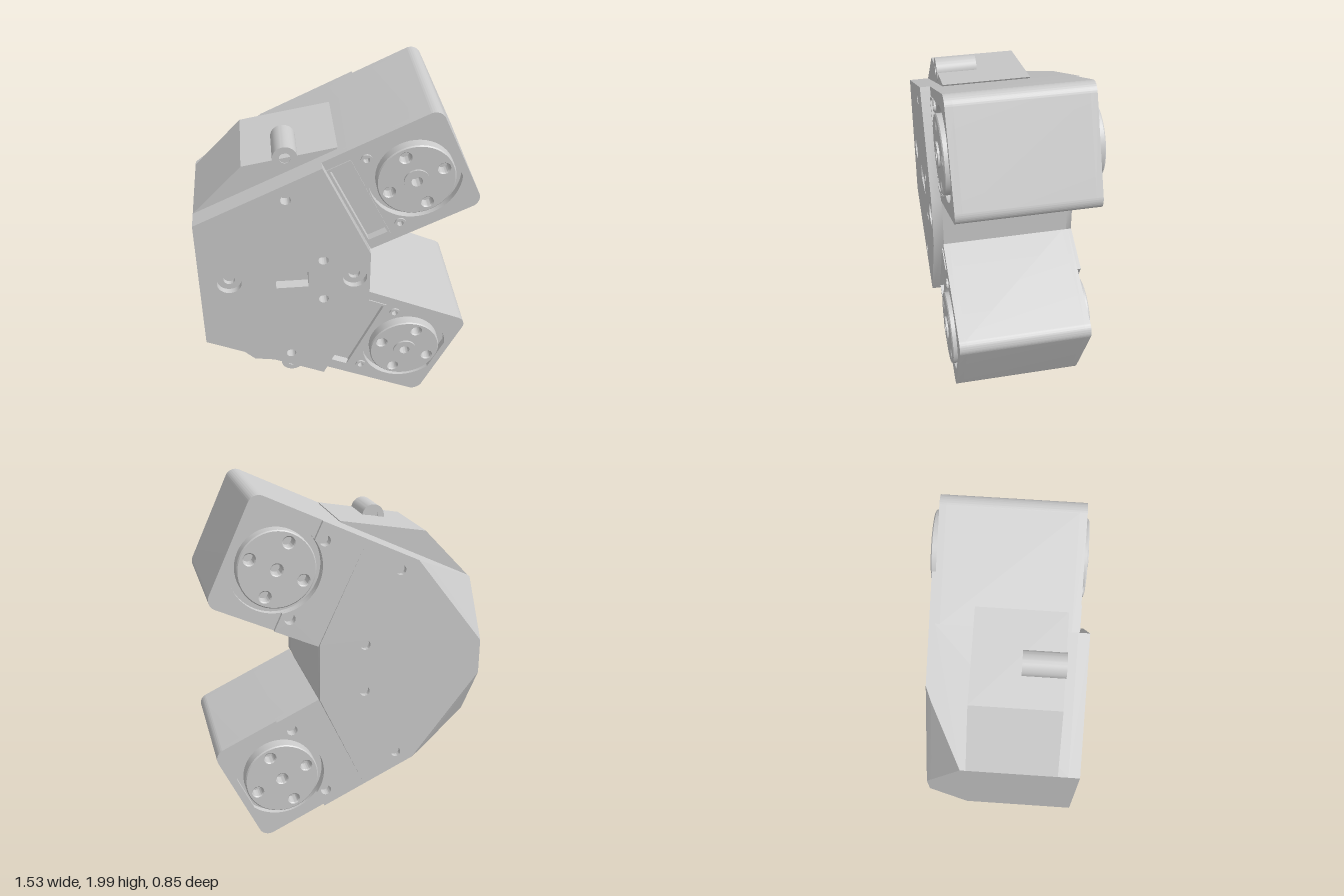
import * as THREE from 'three';
import { toCreasedNormals } from 'three/addons/utils/BufferGeometryUtils.js';
import { ConvexGeometry } from 'three/addons/geometries/ConvexGeometry.js';

const MID = 1; // height of the symmetry plane
const MOTOR = { x: 0.405, y: 0.615, tilt: THREE.MathUtils.degToRad(25) };
const material = new THREE.MeshStandardMaterial({ color: 0xcccccc });

const mirrorY = ([x, y]) => [x, 2 * MID - y];
const outline = (pts) => new THREE.Shape(pts.map(([x, y]) => new THREE.Vector2(x, y)));
// Outline symmetric about the middle plane, given its upper half
const symmetric = (upper) => [...upper, ...upper.map(mirrorY).reverse()];

function circle(x, y, r) {
  const s = new THREE.Shape();
  s.absarc(x, y, r, 0, Math.PI * 2);
  return s;
}

function rect(x0, y0, x1, y1) {
  return outline([[x0, y0], [x1, y0], [x1, y1], [x0, y1]]);
}

// Extrusion between two z levels, with holes
function slab(name, shape, z0, z1, holes = [], bevel = 0) {
  shape.holes.push(...holes);
  const geo = new THREE.ExtrudeGeometry(shape, {
    depth: z1 - z0 - 2 * bevel, curveSegments: 24, bevelEnabled: bevel > 0,
    bevelSize: bevel, bevelThickness: bevel, bevelOffset: -bevel, bevelSegments: 1,
  });
  geo.translate(0, 0, z0 + bevel);
  const mesh = new THREE.Mesh(toCreasedNormals(geo, 0.5), material);
  mesh.name = name;
  return mesh;
}

// Motor case outline: square at the body, rounded at the outer end
function caseShape() {
  const s = new THREE.Shape();
  const u = 0.265, v = 0.32, r = 0.06;
  s.moveTo(-0.395, -v);
  s.lineTo(u - r, -v);
  s.absarc(u - r, -v + r, r, -Math.PI / 2, 0);
  s.lineTo(u, v - r);
  s.absarc(u - r, v - r, r, 0, Math.PI / 2);
  s.lineTo(-0.395, v);
  s.closePath();
  return s;
}

// Round pocket for the drive disc, flattened at the outer end
function pocket() {
  const s = new THREE.Shape();
  const a = Math.acos(0.225 / 0.25);
  s.absarc(0, 0, 0.25, a, Math.PI * 2 - a);
  s.closePath();
  return s;
}

const screwHoles = () => [-1, 1].map((k) => circle(-0.183, k * 0.229, 0.03));

function discHoles() {
  const holes = [circle(0, 0, 0.03)];
  for (let i = 0; i < 4; i++) {
    const a = (i * Math.PI) / 2;
    holes.push(circle(0.155 * Math.cos(a), 0.155 * Math.sin(a), 0.029));
  }
  return holes;
}

function createMotor() {
  const g = new THREE.Group();
  g.name = 'motor';
  g.add(slab('motorCase', caseShape(), -0.345, 0.33));
  g.add(slab('motorFrontCover', caseShape(), 0.33, 0.37,
    [pocket(), rect(-0.38, -0.25, -0.256, 0.25), ...screwHoles()]));
  g.add(slab('motorBackCover', caseShape(), -0.38, -0.345, [pocket(), ...screwHoles()]));

  // Raised frame around the cable slot
  g.add(slab('slotFrame', rect(-0.394, -0.265, -0.256, 0.265), 0.365, 0.376,
    [rect(-0.38, -0.25, -0.268, 0.25)]));

  // Rings around the front screws
  for (const k of [-1, 1]) {
    g.add(slab('screwRing', circle(-0.183, k * 0.229, 0.03), 0.345, 0.38,
      [circle(-0.183, k * 0.229, 0.017)]));
  }

  // Drive discs and front hub
  g.add(slab('frontDisc', circle(0, 0, 0.21), 0.33, 0.395, discHoles(), 0.006));
  g.add(slab('frontHub', circle(0, 0, 0.068), 0.39, 0.406, [circle(0, 0, 0.03)]));
  g.add(slab('backDisc', circle(0, 0, 0.21), -0.425, -0.345, discHoles(), 0.006));

  // Back bracket that wraps the inner side of the disc
  const b = new THREE.Shape();
  const a = Math.acos(-0.13 / 0.25);
  b.moveTo(-0.395, -0.32);
  b.lineTo(-0.13, -0.32);
  b.absarc(0, 0, 0.25, 2 * Math.PI - a, a, true);
  b.lineTo(-0.13, 0.32);
  b.lineTo(-0.395, 0.32);
  b.closePath();
  g.add(slab('backBracket', b, -0.4, -0.38, screwHoles()));
  return g;
}

function createBody() {
  const g = new THREE.Group();
  g.name = 'body';
  const front = symmetric([[-0.77, 1.42], [-0.088, 1.738], [0.175, 1.165]]);
  const back = symmetric([[-0.77, 1.1], [-0.38, 1.602], [-0.088, 1.738], [0.175, 1.165]]);
  const backInner = symmetric([[-0.77, 1.148], [-0.45, 1.569], [-0.088, 1.738], [0.175, 1.165]]);
  const bolts = () => [[-0.28, 1.555], [-0.085, 1.14], [-0.085, 0.86], [-0.28, 0.445]]
    .map(([x, y]) => circle(x, y, 0.028));

  // Core with chamfered rear corners
  const at = (z) => ([x, y]) => new THREE.Vector3(x, y, z);
  const corners = [[-0.77, 1.42], [-0.77, 0.58]];
  const core = new THREE.Mesh(new ConvexGeometry([
    ...front.map(at(0.365)), ...corners.map(at(-0.2)), ...backInner.map(at(-0.37)),
  ]), material);
  core.name = 'bodyCore';
  g.add(core);

  // Front plate with counterbores, bolt holes and a window
  const bores = [[-0.607, 1.015], [0.09, 1.005]];
  g.add(slab('frontPlate', outline(front), 0.365, 0.425, [
    ...bolts(), ...bores.map(([x, y]) => circle(x, y, 0.068)), rect(-0.35, 0.96, -0.17, 1.065),
  ]));
  for (const [x, y] of bores) {
    g.add(slab('boreSeat', circle(x, y, 0.068), 0.365, 0.39, [circle(x, y, 0.032)]));
  }

  // Back plate, its inner edge following the chamfer
  const plate = slab('backPlate', outline(back), -0.4, -0.37, bolts());
  const p = plate.geometry.attributes.position;
  for (let i = 0; i < p.count; i++) {
    if (p.getZ(i) < -0.38 || p.getX(i) > -0.35) continue;
    const k = back.findIndex(([x, y]) => Math.hypot(x - p.getX(i), y - p.getY(i)) < 1e-3);
    if (k >= 0) p.setXY(i, ...backInner[k]);
  }
  plate.geometry = toCreasedNormals(plate.geometry, 0.5);
  g.add(plate);

  // Shoulders with their mounting posts, above and below
  const shoulder = [[-0.77, 1.42], [-0.5, 1.7], [0, 1.787], [-0.1, 1.6]];
  for (const flip of [(q) => q, mirrorY]) {
    g.add(slab('shoulder', outline(shoulder.map(flip)), -0.17, 0.31));
    const [x, y] = flip([-0.272, 1.74]);
    g.add(slab('mountingPost', circle(x, y, 0.066), 0.09, 0.315, [circle(x, y, 0.03)]));
    g.add(slab('postCore', circle(x, y, 0.04), 0.095, 0.27));
  }
  return g;
}

export function createModel() {
  const model = new THREE.Group();
  model.name = 'twinMotorUnit';
  model.add(createBody());
  for (const k of [1, -1]) {
    const motor = createMotor();
    motor.name = k > 0 ? 'upperMotor' : 'lowerMotor';
    motor.position.set(MOTOR.x, MID + k * MOTOR.y, 0);
    motor.rotation.z = k * MOTOR.tilt;
    model.add(motor);
  }
  return model;
}
